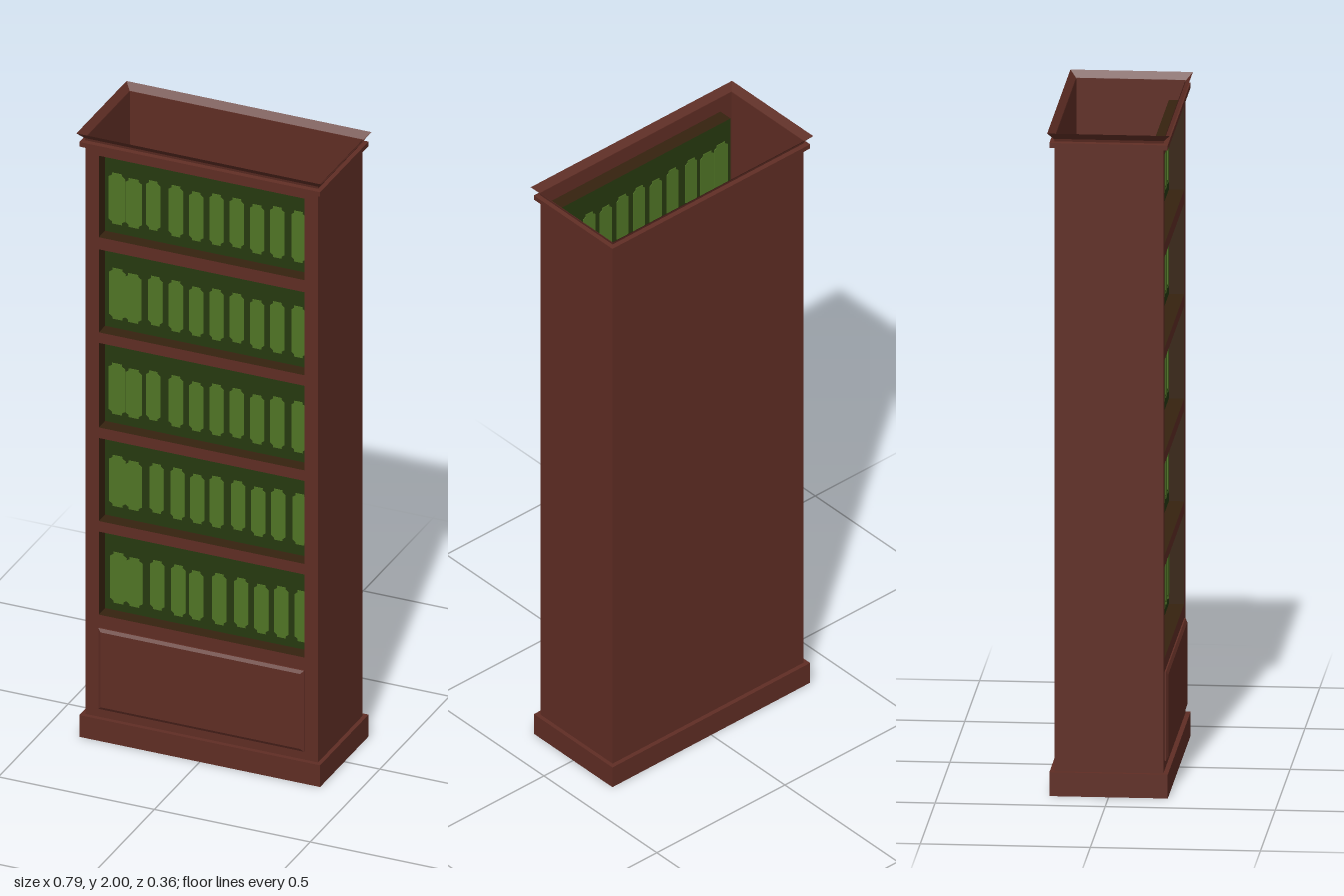
import * as THREE from 'three';

const mat = (name, color) => new THREE.MeshStandardMaterial({ name, color, side: THREE.DoubleSide });

// Rectangular rings [halfX, halfZ, y] joined into flat-faced walls
function loft(rings) {
  const corners = [[1, 1], [1, -1], [-1, -1], [-1, 1]];
  const pos = [];
  const at = (r, c) => [r[0] * c[0], r[2], r[1] * c[1]];
  for (let i = 0; i + 1 < rings.length; i++) {
    for (let k = 0; k < 4; k++) {
      const c = corners[k], d = corners[(k + 1) % 4];
      const p = at(rings[i], c), q = at(rings[i], d), r = at(rings[i + 1], d), s = at(rings[i + 1], c);
      pos.push(...p, ...q, ...r, ...p, ...r, ...s);
    }
  }
  const g = new THREE.BufferGeometry();
  g.setAttribute('position', new THREE.Float32BufferAttribute(pos, 3));
  g.computeVertexNormals();
  return g;
}

// Narrow book spine with stepped corners
function bookShape(x0, x1, y0, y1) {
  const c = (x1 - x0) * 0.2, h = 0.014;
  return new THREE.Shape([
    [x0 + c, y0], [x1 - c, y0], [x1 - c, y0 + h / 2], [x1, y0 + h], [x1, y1 - h], [x1 - c, y1 - h / 2],
    [x1 - c, y1], [x0 + c, y1], [x0 + c, y1 - h / 2], [x0, y1 - h], [x0, y0 + h], [x0 + c, y0 + h / 2],
  ].map(([x, y]) => new THREE.Vector2(x, y)));
}

export function createModel() {
  const wood = mat('redBrownWood', 0x5f2d24);
  const dark = mat('darkBrownWood', 0x36220f);
  const shade = mat('darkGreen', 0x26390f);
  const spine = mat('bookGreen', 0x507425);

  const model = new THREE.Group();
  model.name = 'bookcase';
  const add = (name, geometry, material, parent = model) => {
    const m = new THREE.Mesh(geometry, material);
    m.name = name;
    parent.add(m);
    return m;
  };

  const W = 0.373, D = 0.16, OPEN = 0.33, BACK = 0.115;

  // Plinth and floor
  add('plinth', loft([[0.386, 0.174, 0], [0.386, 0.174, 0.072], [W, D, 0.072]]), wood);
  add('floor', new THREE.PlaneGeometry(0.772, 0.348).rotateX(Math.PI / 2), dark);

  // Side and back walls of the hollow case
  const H = 1.98 - 0.072, mid = 0.072 + H / 2;
  for (const s of [-1, 1]) {
    const side = add(s > 0 ? 'leftSide' : 'rightSide', new THREE.PlaneGeometry(2 * D, H), wood);
    side.rotation.y = s * Math.PI / 2;
    side.position.set(s * W, mid, 0);
  }
  const back = add('backWall', new THREE.PlaneGeometry(2 * W, H), wood);
  back.rotation.y = Math.PI;
  back.position.set(0, mid, -D);

  // Front frame with five openings
  const rows = [[0.41, 0.685], [0.72, 0.995], [1.03, 1.31], [1.345, 1.62], [1.66, 1.93]];
  const rect = (T, x, y0, y1) => new T([[-x, y0], [x, y0], [x, y1], [-x, y1]].map(p => new THREE.Vector2(...p)));
  const frame = rect(THREE.Shape, W, 0.072, 1.98);
  rows.forEach(([a, b]) => frame.holes.push(rect(THREE.Path, OPEN, a, b)));
  add('frontFrame', new THREE.ShapeGeometry(frame), wood).position.z = D;

  // Left edge and width of each spine, bottom shelf first
  const regular = [-0.125, -0.06, 0.005, 0.07, 0.135, 0.2, 0.268];
  const upper = [-0.318, -0.264, -0.198, ...regular];
  const starts = [
    [-0.313, -0.262, -0.185, -0.117, -0.06, 0.014, 0.084, 0.149, 0.213, 0.279],
    [-0.316, -0.264, -0.187, -0.12, -0.057, 0.005, 0.074, 0.139, 0.203, 0.272],
    upper,
    [-0.316, -0.266, -0.191, ...regular],
    upper,
  ];
  const feet = [0.435, 0.755, 1.06, 1.375, 1.69];

  rows.forEach(([a, b], i) => {
    const shelf = new THREE.Group();
    shelf.name = 'shelf' + (i + 1);
    model.add(shelf);
    // Recess walls and the panel behind the books
    const recess = add('recess', loft([[OPEN, (b - a) / 2, BACK], [OPEN, (b - a) / 2, D]]), dark, shelf);
    recess.rotation.x = Math.PI / 2;
    recess.position.y = (a + b) / 2;
    add('bookPanel', new THREE.PlaneGeometry(2 * OPEN, b - a), shade, shelf).position.set(0, (a + b) / 2, BACK);
    // Painted spines, showing on both faces of the panel
    const shapes = starts[i].map((x, k) => {
      const w = k < 2 ? 0.053 : 0.046;
      const top = feet[i] + 0.168 - (k % 3 === 1 ? 0.007 : 0);
      return bookShape(x, x + w, feet[i] + (k % 4 === 2 ? 0.006 : 0), top);
    });
    const books = new THREE.ExtrudeGeometry(shapes, { depth: 0.004, bevelEnabled: false });
    add('books', books, spine, shelf).position.z = BACK - 0.002;
  });

  // Bevelled lower door panel
  const door = add('lowerPanel', loft([
    [0.33, 0.134, D], [0.33, 0.134, 0.164], [0.32, 0.124, 0.17], [0, 0, 0.17],
  ]), wood);
  door.rotation.x = Math.PI / 2;
  door.position.y = 0.234;

  // Cornice: band, neck and open flared rim
  add('cornice', loft([
    [W, D, 1.955], [0.386, 0.174, 1.955], [0.386, 0.174, 1.97], [W, D, 1.972],
    [W + 0.002, D + 0.002, 1.98], [0.393, 0.18, 2],
  ]), wood);

  return model;
}
